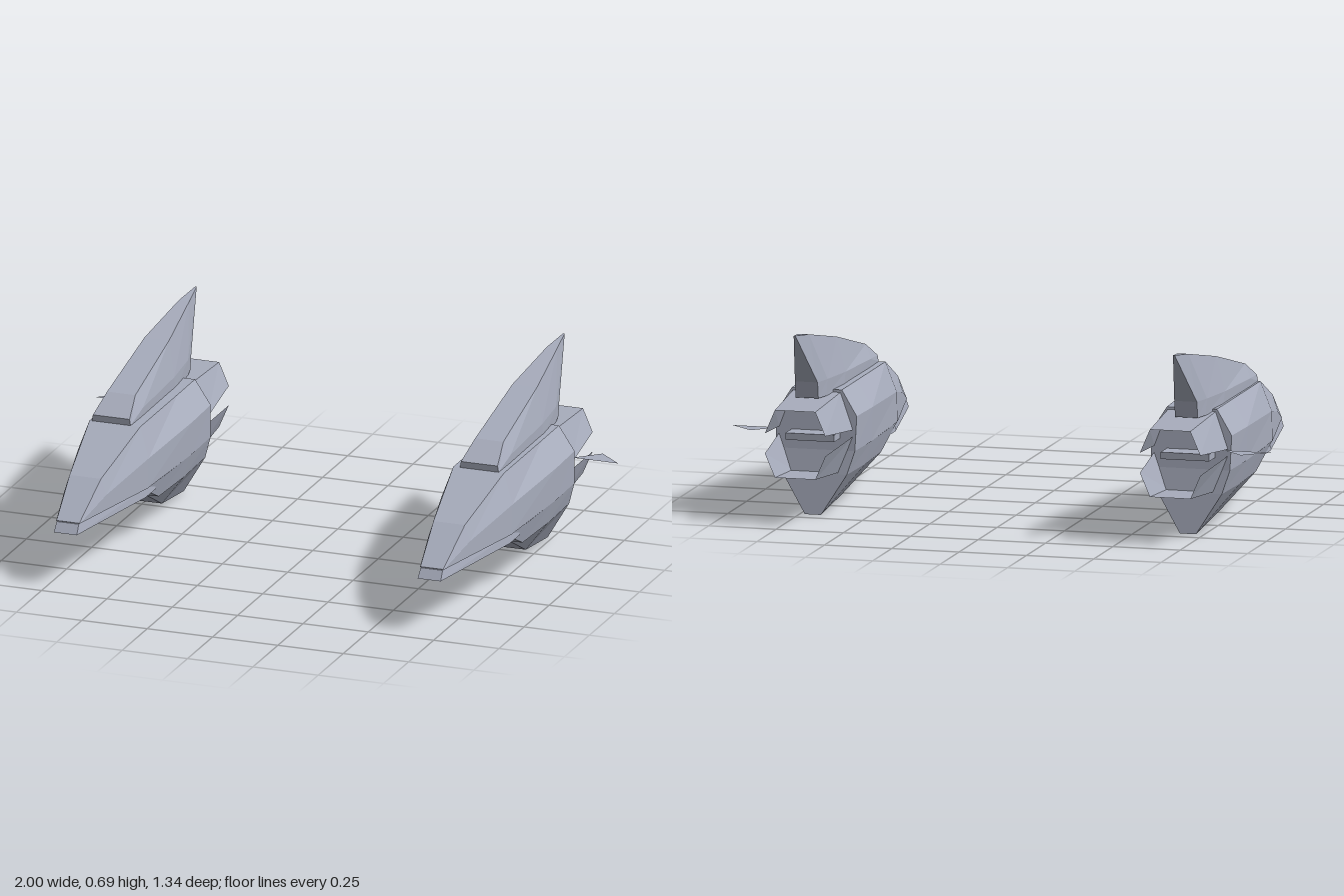
import * as THREE from 'three';

const hullGrey = new THREE.MeshStandardMaterial({ color: 0xa8adbd, side: THREE.DoubleSide });
hullGrey.name = 'hullGrey';

// Faceted loft. Each section lists [z, y, halfWidth] from bottom to top and is
// mirrored across x = 0; sections run front to back. Open lofts have no bottom or ends.
function loft(sections, open = false) {
  const rings = sections.map((s) => [
    ...s.map(([z, y, w]) => [w, y, z]),
    ...s.slice().reverse().map(([z, y, w]) => [-w, y, z]),
  ]);
  const n = rings[0].length;
  const out = [];
  const tri = (a, b, c) => out.push(...a, ...b, ...c);
  for (let i = 0; i < rings.length - 1; i++) {
    const a = rings[i], b = rings[i + 1];
    for (let j = 0; j < (open ? n - 1 : n); j++) {
      const k = (j + 1) % n;
      tri(a[j], b[j], b[k]);
      tri(a[j], b[k], a[k]);
    }
  }
  if (!open) {
    // end caps, built as strips between the mirrored sides
    const f = rings[0], r = rings[rings.length - 1];
    for (let j = 0; j < n / 2 - 1; j++) {
      const m = n - 1 - j;
      tri(f[j], f[j + 1], f[m - 1]);
      tri(f[j], f[m - 1], f[m]);
      tri(r[j], r[m - 1], r[j + 1]);
      tri(r[j], r[m], r[m - 1]);
    }
  }
  const g = new THREE.BufferGeometry();
  g.setAttribute('position', new THREE.Float32BufferAttribute(out, 3));
  g.computeVertexNormals();
  return g;
}

const upperHull = loft([
  [[0.645, 0.235, 0.045], [0.645, 0.237, 0.044], [0.643, 0.239, 0.043]],
  [[0.47, 0.235, 0.08], [0.47, 0.29, 0.079], [0.47, 0.35, 0.06]],
  [[0.2, 0.235, 0.135], [0.19, 0.345, 0.135], [0.175, 0.455, 0.097]],
  [[-0.2, 0.235, 0.15], [-0.2, 0.36, 0.155], [-0.2, 0.455, 0.097]],
  [[-0.4, 0.235, 0.146], [-0.39, 0.36, 0.15], [-0.383, 0.452, 0.093]],
]);

const lowerHull = loft([
  [[0.2, 0.228, 0.09], [0.205, 0.23, 0.12], [0.21, 0.235, 0.132]],
  [[0.045, 0.15, 0.07], [0.045, 0.152, 0.118], [0.045, 0.235, 0.142]],
  [[-0.185, 0.04, 0.042], [-0.185, 0.15, 0.125], [-0.185, 0.235, 0.149]],
  [[-0.435, 0.004, 0.03], [-0.415, 0.15, 0.12], [-0.4, 0.235, 0.146]],
]);

const chinPlate = loft([
  [[0.67, 0.2, 0.044], [0.645, 0.233, 0.042]],
  [[0.2, 0.2, 0.128], [0.2, 0.233, 0.125]],
  [[0.1, 0.2, 0.128], [0.1, 0.233, 0.125]],
]);

const dorsalFin = loft([
  [[0.175, 0.44, 0.074], [0.175, 0.455, 0.074], [0.175, 0.478, 0.07]],
  [[0.07, 0.44, 0.076], [0.06, 0.485, 0.077], [0.075, 0.535, 0.054]],
  [[-0.28, 0.44, 0.073], [-0.26, 0.495, 0.074], [-0.28, 0.625, 0.047]],
  [[-0.45, 0.44, 0.055], [-0.44, 0.5, 0.058], [-0.55, 0.68, 0.02]],
  [[-0.505, 0.44, 0.042], [-0.515, 0.5, 0.042], [-0.67, 0.695, 0.003]],
]);

// Folded exhaust shell, open towards the centre of the engine
const exhaustShell = loft([
  [[-0.39, 0.31, 0.137], [-0.385, 0.443, 0.088]],
  [[-0.67, 0.335, 0.112], [-0.67, 0.421, 0.075]],
], true);

const core = new THREE.BoxGeometry(0.18, 0.025, 0.1);

// Small flat triangular side fin, given by its inner, outer and rear corners
function sideFin(side) {
  const g = new THREE.BufferGeometry();
  const y = 0.315;
  g.setAttribute('position', new THREE.Float32BufferAttribute([
    side * 0.825, y, -0.44, side, y, -0.44, side * 0.91, y, -0.52,
  ], 3));
  if (side < 0) g.setIndex([0, 2, 1]);
  else g.setIndex([0, 1, 2]);
  g.computeVertexNormals();
  return g;
}

function createPod(side) {
  const pod = new THREE.Group();
  const hullX = side > 0 ? 0.702 : -0.69;
  const add = (name, geometry, x = hullX, y = 0, z = 0) => {
    const mesh = new THREE.Mesh(geometry, hullGrey);
    mesh.name = name;
    mesh.position.set(x, y, z);
    pod.add(mesh);
    return mesh;
  };
  add('upperHull', upperHull);
  add('lowerHull', lowerHull);
  add('chinPlate', chinPlate);
  add('dorsalFin', dorsalFin, side * 0.704);
  add('upperExhaustShell', exhaustShell);
  // the same shell turned over
  add('lowerExhaustShell', exhaustShell, hullX, 0.597).rotation.z = Math.PI;
  add('engineCore', core, hullX, 0.291, -0.425);
  add('sideFin', sideFin(side), 0);
  return pod;
}

export function createModel() {
  const model = new THREE.Group();
  model.name = 'twinPods';
  for (const side of [1, -1]) {
    const pod = createPod(side);
    pod.name = side > 0 ? 'leftPod' : 'rightPod';
    model.add(pod);
  }
  return model;
}
